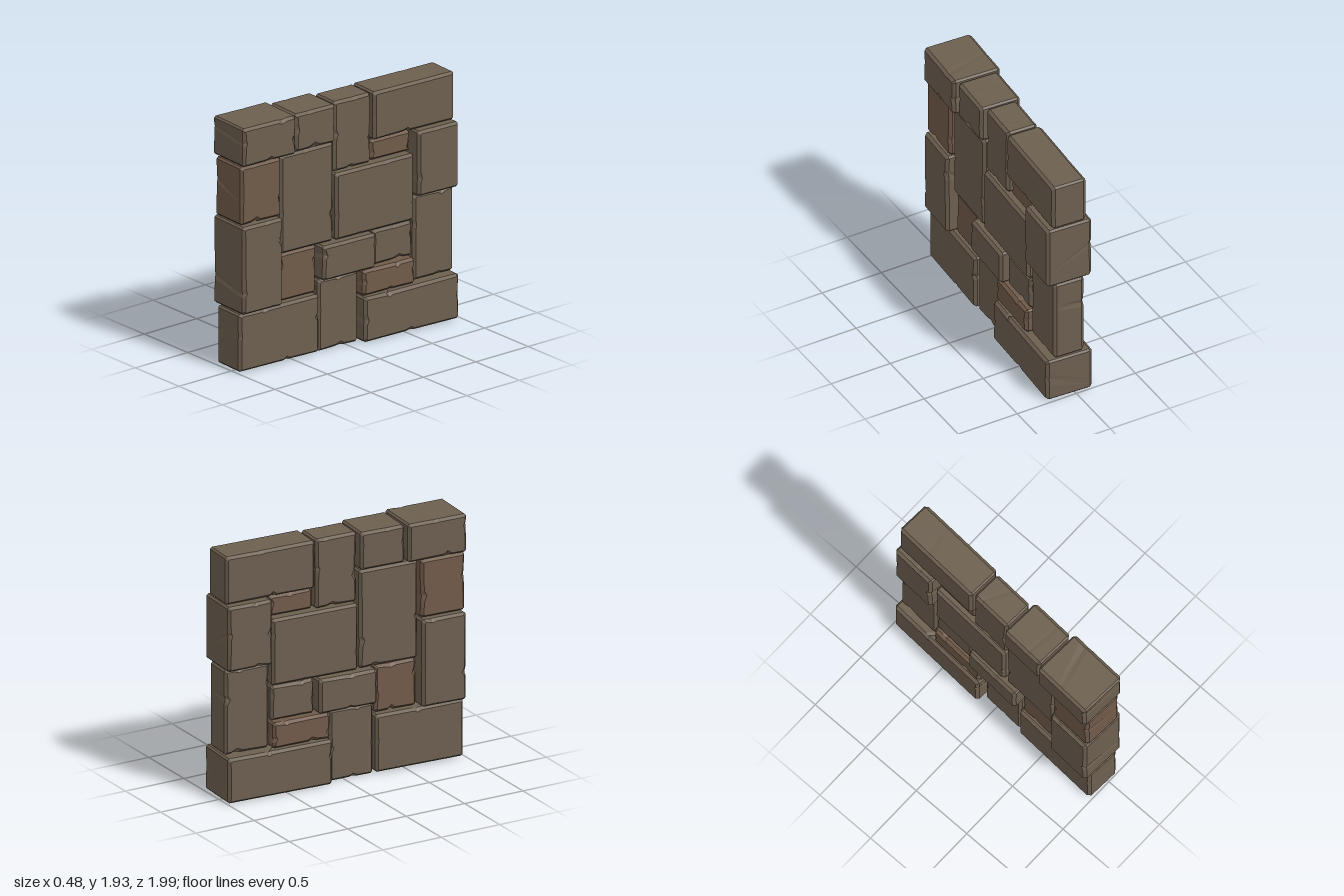
import * as THREE from 'three';

// small seeded generator for the worn edges
function seeded(seed) {
  let s = seed * 7919 + 17;
  return () => (s = (s * 16807) % 2147483647) / 2147483647;
}

// outline of a block in (along, y): rectangle with cut corners and one chip per side
function outline(w, h, inset, corner, chips) {
  const W = w / 2 - inset, H = h / 2 - inset;
  const corners = [[-W, -H], [W, -H], [W, H], [-W, H]];
  const points = [];
  corners.forEach((a, i) => {
    const b = corners[(i + 1) % 4];
    const len = Math.hypot(b[0] - a[0], b[1] - a[1]);
    const d = [(b[0] - a[0]) / len, (b[1] - a[1]) / len];
    const { at, size, depth, lean } = chips[i];
    const mid = at * len;
    const steps = [[corner, 0], [mid - size, depth * lean], [mid, depth], [mid + size * 0.7, depth * 0.2], [len - corner, 0]];
    // inward normal of a counter-clockwise side is (-dy, dx)
    for (const [s, n] of steps) points.push([a[0] + d[0] * s - d[1] * n, a[1] + d[1] * s + d[0] * n]);
  });
  return points;
}

// bevelled stone: four cross-sections through the thickness, closed by flat faces
function stoneGeometry(w, h, half, seed) {
  const rand = seeded(seed);
  for (let i = 0; i < 5; i++) rand();
  const makeChips = () => [0, 1, 2, 3].map(() => ({
    at: 0.2 + rand() * 0.6,
    size: 0.025 + rand() * 0.03,
    depth: rand() < 0.55 ? 0.01 + rand() * 0.018 : rand() * 0.006,
    lean: rand() * 0.4,
  }));
  const soften = (chips) => chips.map((c) => ({ ...c, depth: c.depth * 0.45 }));
  const left = makeChips(), right = makeChips();
  const bevel = 0.018;
  const rings = [
    [-half, outline(w, h, bevel, 0.008, right)],
    [-half + bevel * 1.3, outline(w, h, 0, 0.014, soften(right))],
    [half - bevel * 1.3, outline(w, h, 0, 0.014, soften(left))],
    [half, outline(w, h, bevel, 0.008, left)],
  ];
  const positions = [], index = [];
  for (const [x, pts] of rings) for (const [u, y] of pts) positions.push(x, y, -u);
  positions.push(-half, 0, 0, half, 0, 0);
  const n = rings[0][1].length, centre = 4 * n;
  for (let j = 0; j < n; j++) {
    const k = (j + 1) % n;
    for (let r = 0; r < 3; r++) {
      const a = r * n + j, b = r * n + k;
      index.push(a, b, b + n, a, b + n, a + n);
    }
    index.push(centre, k, j, centre + 1, 3 * n + j, 3 * n + k);
  }
  const geometry = new THREE.BufferGeometry();
  geometry.setAttribute('position', new THREE.Float32BufferAttribute(positions, 3));
  geometry.setIndex(index);
  geometry.computeVertexNormals();
  return geometry;
}

export function createModel() {
  const model = new THREE.Group();
  model.name = 'stoneWall';
  const grey = new THREE.MeshStandardMaterial({ color: 0x6c5f4f, flatShading: true });
  const brown = new THREE.MeshStandardMaterial({ color: 0x705a49, flatShading: true });

  // front z, back z, bottom y, top y, half thickness, brown
  const stones = [
    // top course
    [0.99, 0.505, 1.63, 1.93, 0.195],
    [0.49, 0.125, 1.63, 1.925, 0.165],
    [0.11, -0.23, 1.38, 1.925, 0.125],
    [-0.245, -0.985, 1.55, 1.925, 0.14],
    // upper middle
    [0.99, 0.625, 1.165, 1.62, 0.165, true],
    [0.61, 0.125, 0.85, 1.62, 0.14],
    [0.11, -0.605, 0.85, 1.37, 0.15],
    [-0.245, -0.605, 1.38, 1.54, 0.1, true],
    [-0.62, -0.99, 1.035, 1.545, 0.185],
    // lower middle
    [0.99, 0.625, 0.47, 1.155, 0.19],
    [0.61, 0.265, 0.47, 0.84, 0.115, true],
    [0.25, -0.23, 0.57, 0.84, 0.185],
    [-0.245, -0.605, 0.57, 0.84, 0.13],
    [-0.62, -0.985, 0.365, 1.03, 0.125],
    // bottom course
    [0.99, 0.26, 0.01, 0.46, 0.145],
    [0.25, -0.115, 0, 0.56, 0.12],
    [-0.13, -0.605, 0.36, 0.56, 0.165, true],
    [-0.125, -0.99, 0.005, 0.355, 0.19],
  ];

  const wall = new THREE.Group();
  wall.name = 'stones';
  stones.forEach(([z0, z1, y0, y1, half, isBrown], i) => {
    const stone = new THREE.Mesh(stoneGeometry(z0 - z1, y1 - y0, half, i + 3), isBrown ? brown : grey);
    stone.name = `stone${i + 1}`;
    stone.position.set(0, (y0 + y1) / 2, (z0 + z1) / 2);
    wall.add(stone);
  });
  // the wall runs slightly askew
  wall.rotation.y = -0.05;
  model.add(wall);
  return model;
}
